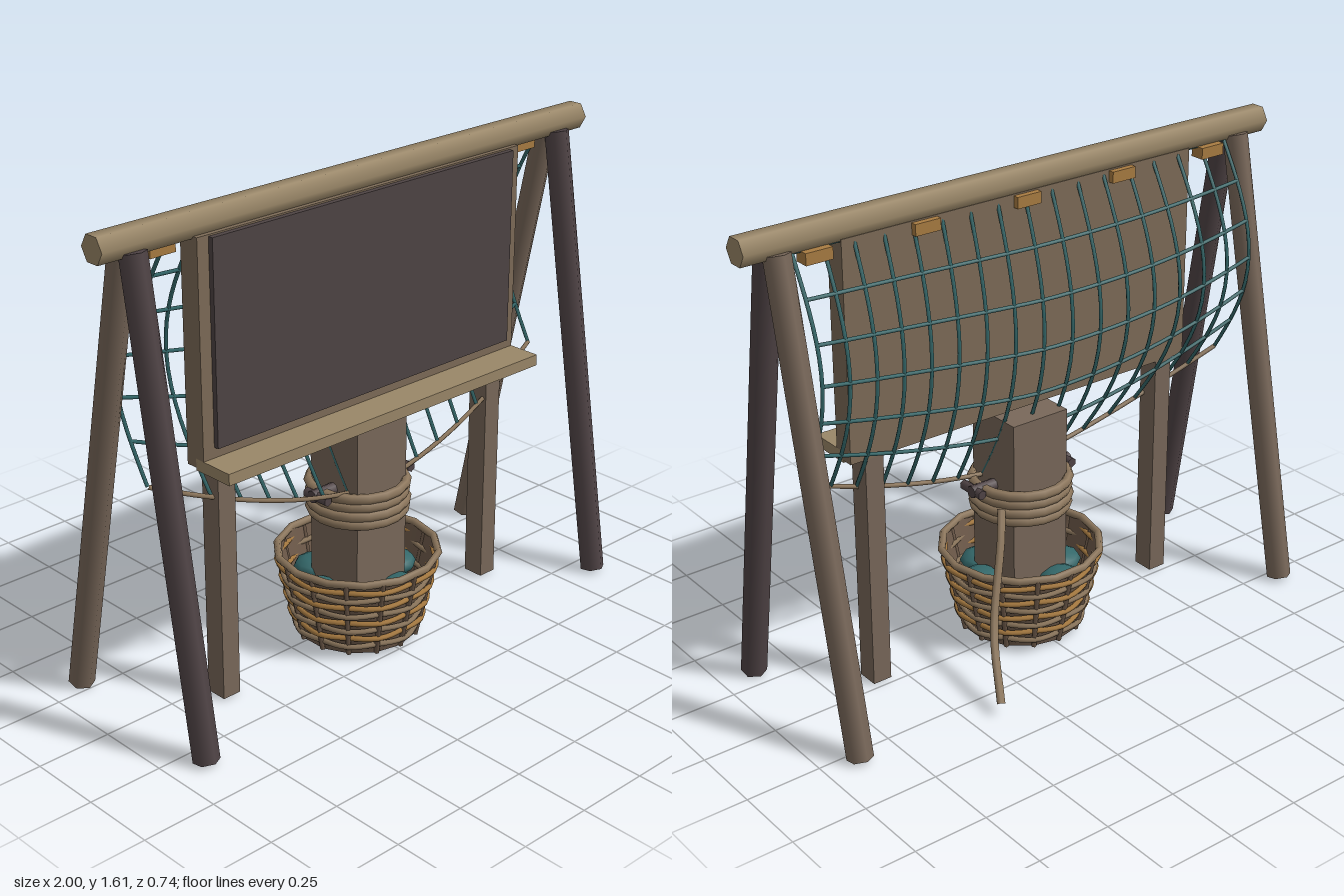
import * as THREE from 'three';

const material = (name, color, side = THREE.FrontSide) => {
  const m = new THREE.MeshStandardMaterial({ color, side });
  m.name = name;
  return m;
};

export function createModel() {
  const paleWood = material('pale wood', 0x9a8768);
  const brownWood = material('brown wood', 0x79685a);
  const boardWood = material('board wood', 0x7d6b57);
  const darkWood = material('dark wood', 0x504446);
  const panelDark = material('dark panel', 0x4e4444);
  const netTeal = material('net teal', 0x34686a);
  const gold = material('golden wood', 0xa97c42);
  const ropeTan = material('rope tan', 0x8d775d);
  const basketBrown = material('basket brown', 0x6e5a4a, THREE.DoubleSide);

  const model = new THREE.Group();
  const V = (x, y, z) => new THREE.Vector3(x, y, z);

  function add(name, geometry, mat, x = 0, y = 0, z = 0, parent = model) {
    const mesh = new THREE.Mesh(geometry, mat);
    mesh.name = name;
    mesh.position.set(x, y, z);
    parent.add(mesh);
    return mesh;
  }
  // Box given by its limits on each axis
  function box(name, mat, [x0, x1], [y0, y1], [z0, z1]) {
    return add(name, new THREE.BoxGeometry(x1 - x0, y1 - y0, z1 - z0), mat,
      (x0 + x1) / 2, (y0 + y1) / 2, (z0 + z1) / 2);
  }
  // Straight pole between two points
  function pole(name, mat, a, b, radius, sides = 6) {
    const mesh = add(name, new THREE.CylinderGeometry(radius, radius, a.distanceTo(b), sides), mat);
    mesh.position.copy(a).add(b).multiplyScalar(0.5);
    mesh.quaternion.setFromUnitVectors(V(0, 1, 0), b.clone().sub(a).normalize());
    return mesh;
  }
  function tube(name, mat, points, radius, segments, closed = false, parent = model, sides = 5) {
    const curve = new THREE.CatmullRomCurve3(points, closed);
    return add(name, new THREE.TubeGeometry(curve, segments, radius, sides, closed), mat, 0, 0, 0, parent);
  }
  function ring(name, mat, radius, thickness, y, parent, sides = 14) {
    const mesh = add(name, new THREE.TorusGeometry(radius, thickness, 6, sides), mat, 0, y, 0, parent);
    mesh.rotation.x = Math.PI / 2;
    return mesh;
  }

  // Beam and splayed legs
  pole('topBeam', paleWood, V(-1, 1.567, 0.05), V(1, 1.567, 0.05), 0.047);
  for (const x of [-0.88, 0.88]) {
    pole('frontLeg', darkWood, V(x, 0.01, 0.325), V(x, 1.54, 0.075), 0.042);
    pole('backLeg', brownWood, V(x, 0.01, -0.292), V(x, 1.54, 0.027), 0.042);
  }

  // Board with shelf and posts
  box('board', boardWood, [-0.67, 0.67], [0.81, 1.535], [0.02, 0.095]);
  box('boardPanel', panelDark, [-0.628, 0.628], [0.875, 1.53], [0.095, 0.113]);
  box('shelf', paleWood, [-0.67, 0.67], [0.802, 0.84], [0.06, 0.21]);
  for (const x of [-0.585, 0.585])
    box('boardPost', brownWood, [x - 0.033, x + 0.033], [0.005, 0.815], [0.02, 0.095]);

  // Blocks that hold the net under the beam
  for (let i = -2; i <= 2; i++)
    box('netBlock', gold, [i * 0.378 - 0.046, i * 0.378 + 0.046], [1.492, 1.53], [0.0, 0.05]);

  // Central pillar
  box('pillar', brownWood, [-0.108, 0.108], [0.008, 0.795], [-0.055, 0.162]);

  // Hanging net: u runs across, v runs down
  const net = new THREE.Group();
  net.name = 'net';
  model.add(net);
  const netPoint = (u, v) => {
    const bottom = 0.55 + 0.24 * Math.pow(Math.abs(u), 1.6);
    const belly = Math.sin(Math.PI * v);
    const wave = 0.035 * Math.sin(2.9 * (u + 0.12));
    return V(0.83 * u, 1.53 - v * (1.53 - bottom),
      0.03 - belly * (0.125 - wave) + 0.09 * v ** 3 * (1 - u * u));
  };
  const steps = (n, fn) => Array.from({ length: n + 1 }, (_, i) => fn(i / n));
  for (let i = 0; i <= 16; i++) {
    const u = i / 8 - 1;
    tube('netStrand', netTeal, steps(12, t => netPoint(u, t)), 0.0065, 18, false, net);
  }
  for (let j = 0; j < 6; j++)
    tube('netRow', netTeal, steps(16, t => netPoint(2 * t - 1, j / 6)), 0.0065, 32, false, net);
  tube('netHemRope', ropeTan, steps(16, t => netPoint(2 * t - 1, 1)), 0.008, 32, false, net);

  // Peg through the pillar with rope wound below it
  pole('peg', darkWood, V(-0.2, 0.55, 0.05), V(0.2, 0.55, 0.05), 0.021, 8);
  for (const x of [-0.185, 0.185])
    pole('pegCross', darkWood, V(x, 0.55, 0.01), V(x, 0.55, 0.11), 0.017, 6);
  const coil = new THREE.Group();
  coil.name = 'ropeCoil';
  coil.position.z = 0.05;
  model.add(coil);
  for (let i = 0; i < 4; i++)
    ring('coilTurn', ropeTan, 0.154 + (i % 2) * 0.004, 0.017, 0.458 + i * 0.031, coil, 18);
  tube('ropeTail', ropeTan, [V(0.14, 0.5, -0.03), V(0.18, 0.43, -0.08),
    V(0.305, 0.19, -0.205), V(0.4, 0.04, -0.365)], 0.015, 12, false, model, 6);

  // Woven basket
  const basket = new THREE.Group();
  basket.name = 'basket';
  basket.position.z = 0.05;
  model.add(basket);
  const low = 0.018, high = 0.3;
  const radiusAt = y => 0.2 + 0.062 * (y - low) / (high - low);
  add('basketWall', new THREE.CylinderGeometry(radiusAt(high), radiusAt(low), high - low, 14, 1, true),
    basketBrown, 0, (low + high) / 2, 0, basket);
  add('basketFloor', new THREE.CylinderGeometry(0.2, 0.2, 0.012, 14), darkWood, 0, low + 0.004, 0, basket);
  for (let k = 0; k < 8; k++) {
    const y = 0.05 + k * 0.031;
    const points = steps(27, t => {
      const a = t * 27 / 28 * Math.PI * 2;
      const r = radiusAt(y) + 0.004 + 0.006 * Math.cos(7 * a + k * Math.PI);
      return V(r * Math.sin(a), y, r * Math.cos(a));
    });
    tube('basketWeave', k % 2 ? gold : ropeTan, points, 0.0095, 56, true, basket);
  }
  for (let i = 0; i < 14; i++) {
    const a = (i / 14) * Math.PI * 2;
    const at = y => V(Math.sin(a) * (radiusAt(y) + 0.003), y, Math.cos(a) * (radiusAt(y) + 0.003));
    tube('basketStake', basketBrown, [at(low), at(high)], 0.009, 1, false, basket);
  }
  ring('basketRim', ropeTan, 0.266, 0.013, high, basket);

  // Spare net piled in the basket
  for (let i = 0; i < 6; i++) {
    const a = i * Math.PI / 3 + 0.4;
    const heap = add('spareNet', new THREE.SphereGeometry(0.075, 10, 6), netTeal,
      Math.sin(a) * 0.15, 0.19 + (i % 2) * 0.012, Math.cos(a) * 0.15, basket);
    heap.scale.y = 0.5;
  }

  return model;
}
